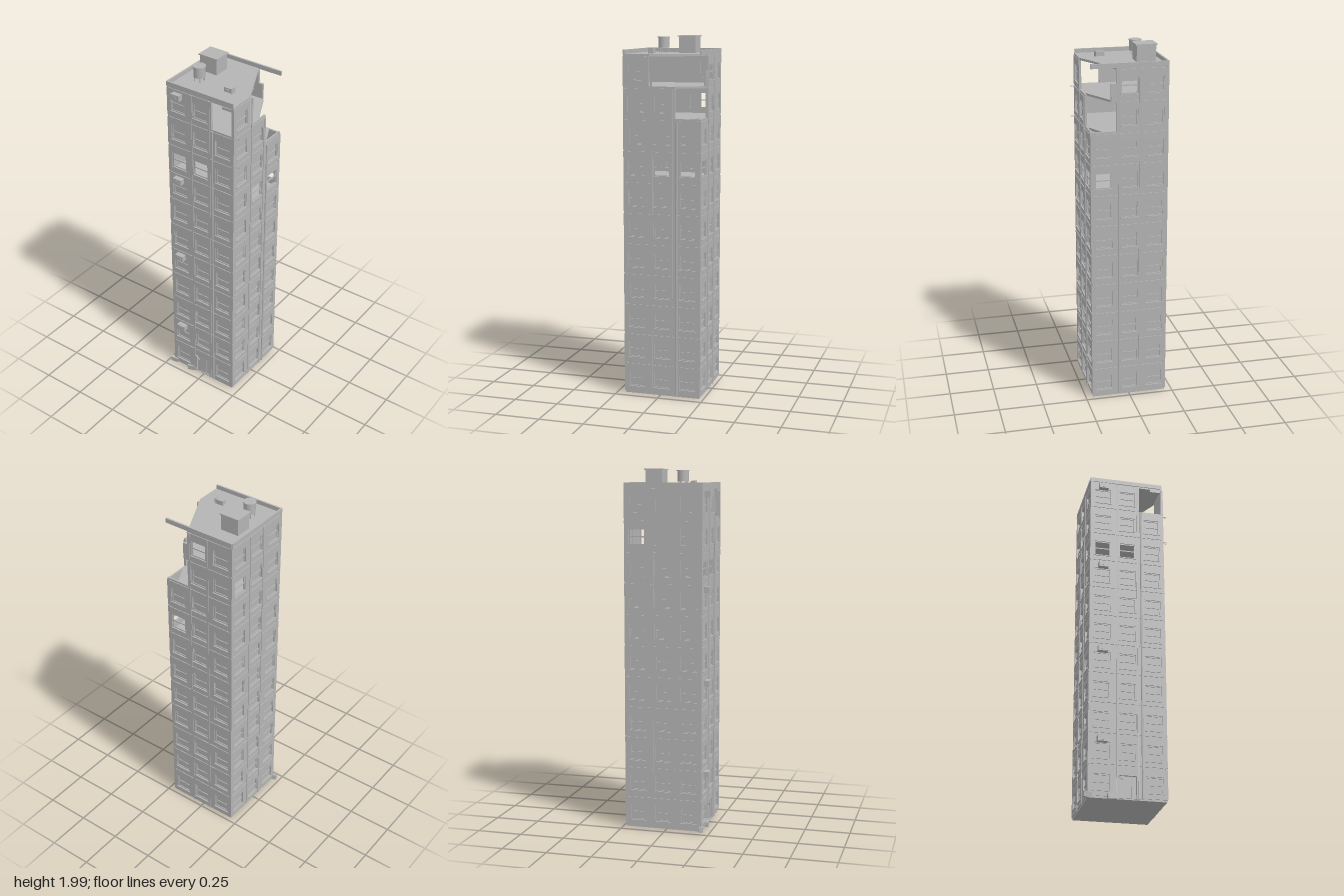
import * as THREE from 'three';

const concrete = new THREE.MeshStandardMaterial({ color: 0xb4b4b4 });
concrete.name = 'concrete grey';

const FLOORS = 11, STEP = 0.171, BASE = 0.018;
const CX = 0.002, CZ = -0.015, HX = 0.213, HZ = 0.219;
const levelY = i => BASE + i * STEP;

function add(parent, name, geometry, x = 0, y = 0, z = 0) {
  const mesh = new THREE.Mesh(geometry, concrete);
  mesh.name = name;
  mesh.position.set(x, y, z);
  parent.add(mesh);
  return mesh;
}

const box = (parent, name, w, h, d, x, y, z) =>
  add(parent, name, new THREE.BoxGeometry(w, h, d), x, y, z);

function rectPath(Type, x0, y0, x1, y1) {
  const p = new Type();
  p.moveTo(x0, y0);
  p.lineTo(x1, y0);
  p.lineTo(x1, y1);
  p.lineTo(x0, y1);
  p.closePath();
  return p;
}

// Plate with a rectangular opening, outer face on z = 0
function holedPlate(w, y0, y1, hole, depth) {
  const shape = rectPath(THREE.Shape, -w / 2, y0, w / 2, y1);
  shape.holes.push(rectPath(THREE.Path, ...hole));
  const g = new THREE.ExtrudeGeometry(shape, { depth, bevelEnabled: false });
  return g.translate(0, 0, -depth);
}

// One bay of one storey: wall panel, window frame, sash bars and pane
function makeBay(w, open, door) {
  const bay = new THREE.Group();
  bay.name = door ? 'doorBay' : 'windowBay';
  if (door) {
    add(bay, 'wallPanel', holedPlate(w, 0, 0.166, [-0.046, 0.002, 0.046, 0.122], 0.014));
    const leaf = box(bay, 'doorLeaf', 0.088, 0.118, 0.005, 0, 0.061, -0.01);
    leaf.rotation.y = 0.06;
    box(bay, 'doorPost', 0.006, 0.118, 0.006, 0.02, 0.061, -0.005);
    return bay;
  }
  add(bay, 'wallPanel', holedPlate(w, 0.005, 0.166, [-0.046, 0.034, 0.046, 0.124], 0.014));
  const frame = holedPlate(0.094, 0.033, 0.125, [-0.04, 0.04, 0.04, 0.118], 0.006);
  add(bay, 'windowFrame', frame, 0, 0, -0.005);
  box(bay, 'sashBar', 0.084, 0.006, 0.006, 0, 0.08, -0.008);
  box(bay, 'windowSill', 0.098, 0.005, 0.007, 0, 0.033, 0.001);
  if (!open) box(bay, 'windowPane', 0.09, 0.09, 0.003, 0, 0.079, -0.011);
  return bay;
}

// Storeys count from 0; entries are 'storey-column', columns run along local x
const walls = [
  { name: 'frontWall', half: HX, turn: 0, x: CX, z: CZ + HZ,
    gone: ['10-2'], open: ['8-0', '8-1'], tops: [11, 11] },
  { name: 'rightSideWall', half: HZ, turn: Math.PI / 2, x: CX + HX, z: CZ,
    gone: ['10-1', '10-2', '9-2'], open: ['7-1', '7-2'], tops: [11, 10] },
  { name: 'backWall', half: HX, turn: Math.PI, x: CX, z: CZ - HZ,
    gone: ['10-0', '9-0'], open: ['7-0', '10-1'], tops: [11, 11] },
  { name: 'leftSideWall', half: HZ, turn: -Math.PI / 2, x: CX - HX, z: CZ,
    gone: [], open: ['9-0'], tops: [11, 11] },
];

function makeWall(spec) {
  const wall = new THREE.Group();
  wall.name = spec.name;
  wall.position.set(spec.x, 0, spec.z);
  wall.rotation.y = spec.turn;
  const pitch = spec.half * 2 / 3;
  for (let f = 0; f < FLOORS; f++) {
    for (let c = 0; c < 3; c++) {
      const key = `${f}-${c}`;
      if (spec.gone.includes(key)) continue;
      const bay = makeBay(pitch, spec.open.includes(key), spec.name === 'frontWall' && key === '0-1');
      bay.position.set((c - 1) * pitch, levelY(f), 0);
      wall.add(bay);
      // Recessed string course closing the joint between storeys
      box(wall, 'stringCourse', pitch, 0.012, 0.01, (c - 1) * pitch, levelY(f) + STEP, -0.009);
    }
  }
  // Vertical strips between the columns
  spec.tops.forEach((top, i) => {
    const h = top * STEP - 0.005;
    const u = (i ? 1 : -1) * 0.058;
    box(wall, 'pilaster', 0.01, h, 0.004, u, BASE + h / 2, 0.001);
  });
  return wall;
}

// Floor slab; a cut takes off the back right corner along a slanted break
function makeSlab(cut, thickness) {
  const x0 = CX - HX + 0.004, x1 = CX + HX - 0.005;
  const z0 = CZ - HZ + 0.006, z1 = CZ + HZ - 0.004;
  const s = new THREE.Shape();
  s.moveTo(x0, -z1);
  s.lineTo(x1, -z1);
  if (cut) {
    s.lineTo(x1, -cut[1]);
    s.lineTo(cut[0], -z0);
  } else s.lineTo(x1, -z0);
  s.lineTo(x0, -z0);
  s.closePath();
  const g = new THREE.ExtrudeGeometry(s, { depth: thickness, bevelEnabled: false });
  return g.rotateX(-Math.PI / 2).translate(0, -thickness, 0);
}

export function createModel() {
  const model = new THREE.Group();
  model.name = 'ruinedTowerBlock';

  walls.forEach(w => model.add(makeWall(w)));

  // Floors, the upper ones broken away more and more towards the roof
  const cuts = { 8: [0.185, -0.18], 9: [0.145, -0.095], 10: [0.105, -0.02], 11: [0.07, 0.055] };
  for (let i = 0; i <= FLOORS; i++)
    add(model, i === FLOORS ? 'roofSlab' : 'floorSlab', makeSlab(cuts[i], 0.012), 0, levelY(i) + 0.006, 0);

  // Broken wall remnants around the missing top corner
  box(model, 'wallRemnant', 0.03, 0.09, 0.012, 0.086, 1.775, CZ - HZ + 0.008);
  box(model, 'lintelRemnant', 0.06, 0.015, 0.012, 0.17, 1.884, CZ + HZ - 0.007);

  // Parapet on the front, back and left edges
  const py = 1.915;
  box(model, 'frontParapet', 0.42, 0.025, 0.01, -0.002, py, 0.2);
  box(model, 'backParapet', 0.42, 0.025, 0.01, 0, py, -0.23);
  box(model, 'leftParapet', 0.01, 0.025, 0.43, -0.208, py, CZ);

  // Stair house with its lid
  box(model, 'stairHouse', 0.106, 0.09, 0.094, -0.115, 1.948, -0.077);
  box(model, 'stairHouseLid', 0.118, 0.007, 0.105, -0.115, 1.9965, -0.077);

  // Water tank on four legs
  const tank = new THREE.Group();
  tank.name = 'waterTank';
  tank.position.set(-0.1, 0, 0.069);
  add(tank, 'tankBody', new THREE.CylinderGeometry(0.031, 0.031, 0.057, 20), 0, 1.96, 0);
  add(tank, 'tankLid', new THREE.CylinderGeometry(0.035, 0.035, 0.006, 20), 0, 1.99, 0);
  for (const sx of [-1, 1]) for (const sz of [-1, 1])
    box(tank, 'tankLeg', 0.005, 0.035, 0.005, sx * 0.018, 1.918, sz * 0.018);
  model.add(tank);

  // Roof ventilation unit
  box(model, 'roofVent', 0.045, 0.025, 0.026, 0.094, 1.92, 0.078);
  box(model, 'roofVentFan', 0.02, 0.012, 0.004, 0.094, 1.92, 0.093);
  box(model, 'roofVentPlate', 0.002, 0.03, 0.03, 0.121, 1.92, 0.076);

  // Air conditioners on the front wall
  for (const f of [1, 4, 7, 10]) {
    const y = levelY(f) + 0.137;
    box(model, 'airConditioner', 0.053, 0.033, 0.03, -0.138, y, 0.219);
    box(model, 'airConditionerGrille', 0.022, 0.018, 0.003, -0.138, y, 0.2345);
  }

  // Drain pipes on the front and the right side
  const pipe = (h, x, z) =>
    add(model, 'drainPipe', new THREE.CylinderGeometry(0.005, 0.005, h, 8), x, BASE + h / 2, z);
  pipe(1.71, 0.08, 0.206);
  pipe(1.53, 0.217, -0.1);

  // Bare reinforcement rods at the damaged storeys
  for (const y of [1.552, 1.722]) for (const z of [0.181, 0.188, 0.196]) {
    const rod = add(model, 'reinforcementRod', new THREE.CylinderGeometry(0.0012, 0.0012, 0.04, 6), 0.216, y, z);
    rod.rotation.z = Math.PI / 2;
  }

  // Rubble by the entrance
  const rubbleA = box(model, 'rubble', 0.045, 0.03, 0.022, -0.211, 0.026, 0.202);
  rubbleA.rotation.set(0.1, 0.25, -0.12);
  const rubbleB = box(model, 'rubble', 0.055, 0.03, 0.018, -0.08, 0.026, 0.204);
  rubbleB.rotation.set(0, 0.2, 0.15);
  const plank = box(model, 'fallenPlank', 0.04, 0.006, 0.006, -0.04, 0.128, 0.207);
  plank.rotation.z = -0.6;
  return model;
}
